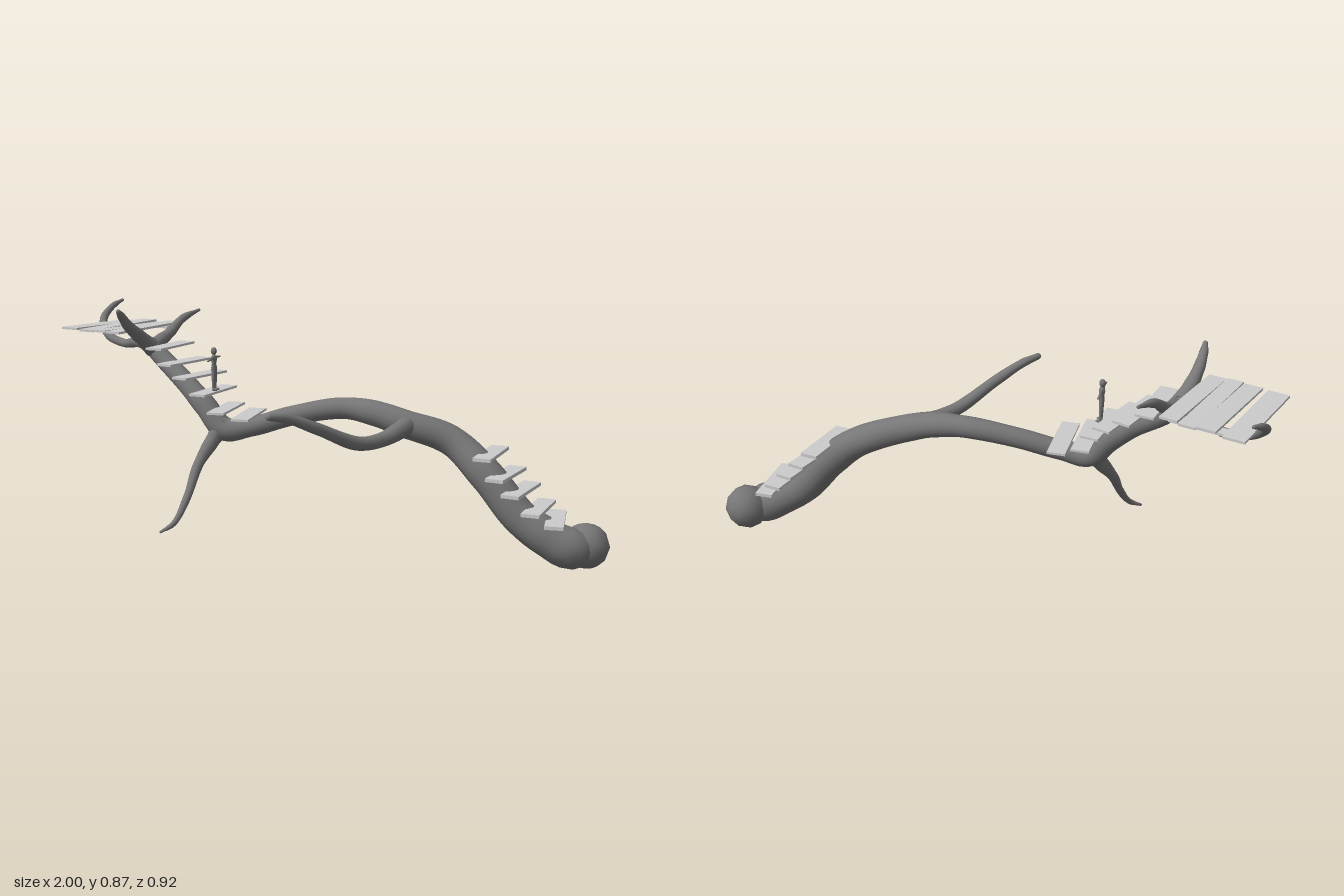
import * as THREE from 'three';

const boardMat = new THREE.MeshStandardMaterial({ color: 0xcccccc });
const darkMat = new THREE.MeshStandardMaterial({ color: 0x777777 });

function add(parent, name, geometry, mat = darkMat) {
  const mesh = new THREE.Mesh(geometry, mat);
  mesh.name = name;
  parent.add(mesh);
  return mesh;
}

// Tapered limb along a smooth path; each point is [x, y, z, radius]
function limbGeometry(points, steps, sides) {
  const curve = new THREE.CatmullRomCurve3(points.map(p => new THREE.Vector3(p[0], p[1], p[2])));
  const frames = curve.computeFrenetFrames(steps, false);
  const pos = [], index = [];
  const v = new THREE.Vector3();
  const rings = [];
  for (let i = 0; i <= steps; i++) {
    // use curve parameter so radii line up with their points
    const t = curve.getUtoTmapping(i / steps);
    const f = t * (points.length - 1);
    const k = Math.min(Math.floor(f), points.length - 2);
    const s = THREE.MathUtils.smoothstep(f - k, 0, 1);
    rings.push({ c: curve.getPoint(t), r: THREE.MathUtils.lerp(points[k][3], points[k + 1][3], s), i });
  }
  // rounded tip
  const last = rings[steps];
  for (const a of [0.5, 1, 1.4]) {
    rings.push({
      c: last.c.clone().addScaledVector(frames.tangents[steps], last.r * Math.sin(a)),
      r: last.r * Math.cos(a), i: steps,
    });
  }
  for (const { c, r, i } of rings) {
    for (let j = 0; j < sides; j++) {
      const a = j / sides * Math.PI * 2;
      v.copy(c).addScaledVector(frames.normals[i], Math.cos(a) * r)
        .addScaledVector(frames.binormals[i], Math.sin(a) * r);
      pos.push(v.x, v.y, v.z);
    }
  }
  for (let i = 0; i < rings.length - 1; i++) {
    for (let j = 0; j < sides; j++) {
      const a = i * sides + j, b = i * sides + (j + 1) % sides;
      index.push(a, b, a + sides, b, b + sides, a + sides);
    }
  }
  // close both ends with fans
  const end = (rings.length - 1) * sides;
  for (let j = 1; j < sides - 1; j++) {
    index.push(0, j + 1, j, end, end + j, end + j + 1);
  }
  const g = new THREE.BufferGeometry();
  g.setAttribute('position', new THREE.Float32BufferAttribute(pos, 3));
  g.setIndex(index);
  g.computeVertexNormals();
  return g;
}

// Flat board lying along z, turned about y
function plank(parent, name, [x, y, z, yaw], width, length, thick) {
  const m = add(parent, name, new THREE.BoxGeometry(width, thick, length), boardMat);
  m.position.set(x, y, z);
  m.rotation.y = yaw;
  return m;
}

// Straight tapered body part between two points
function bone(parent, name, a, b, ra, rb) {
  const A = new THREE.Vector3(...a), B = new THREE.Vector3(...b);
  const d = B.clone().sub(A);
  const m = add(parent, name, new THREE.CylinderGeometry(rb, ra, d.length(), 10));
  m.position.copy(A).add(B).multiplyScalar(0.5);
  m.quaternion.setFromUnitVectors(new THREE.Vector3(0, 1, 0), d.normalize());
}

function createFigure() {
  const g = new THREE.Group();
  g.name = 'figure';
  const torso = [[0.001, 0.07], [0.012, 0.074], [0.013, 0.084], [0.01, 0.096], [0.014, 0.112],
    [0.013, 0.122], [0.005, 0.128], [0.004, 0.136]].map(p => new THREE.Vector2(...p));
  add(g, 'torso', new THREE.LatheGeometry(torso, 12)).scale.x = 0.75;
  const head = add(g, 'head', new THREE.SphereGeometry(0.011, 12, 8));
  head.position.y = 0.141;
  head.scale.y = 1.25;
  for (const s of [-1, 1]) {
    bone(g, 'thigh', [0, 0.08, s * 0.006], [0, 0.042, s * 0.009], 0.0085, 0.006);
    bone(g, 'shin', [0, 0.043, s * 0.009], [0, 0.006, s * 0.011], 0.0065, 0.004);
    const foot = add(g, 'foot', new THREE.SphereGeometry(0.006, 8, 6));
    foot.position.set(0.005, 0.005, s * 0.011);
    foot.scale.set(1.9, 0.8, 1);
    bone(g, 'upperArm', [0, 0.119, s * 0.01], [0, 0.116, s * 0.036], 0.0055, 0.004);
    bone(g, 'forearm', [0, 0.116, s * 0.035], [0, 0.114, s * 0.058], 0.004, 0.003);
    const hand = add(g, 'hand', new THREE.SphereGeometry(0.005, 8, 6));
    hand.position.set(0, 0.114, s * 0.063);
    hand.scale.set(1, 0.6, 1.5);
  }
  return g;
}

export function createModel() {
  const model = new THREE.Group();
  model.name = 'treeWalkway';

  // Fallen trunk with a blunt, coarse butt
  const tree = new THREE.Group();
  tree.name = 'tree';
  model.add(tree);
  add(tree, 'trunk', limbGeometry([
    [0.92, 0.083, -0.075, 0.055], [0.86, 0.083, -0.033, 0.074], [0.78, 0.122, -0.022, 0.067],
    [0.69, 0.184, -0.025, 0.062], [0.57, 0.32, -0.045, 0.06], [0.44, 0.43, -0.08, 0.053],
    [0.28, 0.487, -0.055, 0.049], [0.18, 0.517, -0.06, 0.045], [0.06, 0.53, -0.07, 0.038],
    [-0.12, 0.5, -0.045, 0.035], [-0.26, 0.46, -0.015, 0.035], [-0.36, 0.45, -0.005, 0.043],
    [-0.43, 0.525, -0.018, 0.041], [-0.52, 0.607, -0.052, 0.036], [-0.605, 0.672, -0.092, 0.034],
    [-0.67, 0.727, -0.11, 0.03],
  ], 90, 16));
  const butt = add(tree, 'trunkEnd', new THREE.IcosahedronGeometry(0.082, 1));
  butt.position.set(0.914, 0.082, -0.078);

  const branches = {
    frontBranch: [[0.3, 0.49, -0.06, 0.036], [0.27, 0.474, 0.03, 0.03], [0.225, 0.458, 0.11, 0.025],
      [0.165, 0.463, 0.2, 0.024], [0.06, 0.53, 0.32, 0.02], [-0.02, 0.575, 0.4, 0.016], [-0.066, 0.587, 0.45, 0.012]],
    lowerBranch: [[-0.36, 0.47, -0.01, 0.038], [-0.398, 0.405, 0.025, 0.026], [-0.432, 0.33, 0.08, 0.018],
      [-0.447, 0.235, 0.155, 0.014], [-0.475, 0.155, 0.22, 0.01], [-0.512, 0.13, 0.25, 0.005]],
    frontFork: [[-0.655, 0.715, -0.1, 0.032], [-0.685, 0.765, -0.045, 0.025], [-0.702, 0.805, 0.01, 0.02],
      [-0.71, 0.845, 0.055, 0.015], [-0.71, 0.866, 0.085, 0.009]],
    backFork: [[-0.655, 0.715, -0.09, 0.032], [-0.65, 0.735, -0.15, 0.026], [-0.632, 0.76, -0.21, 0.02],
      [-0.605, 0.807, -0.28, 0.015], [-0.57, 0.832, -0.37, 0.006]],
    hookedFork: [[-0.655, 0.725, -0.1, 0.03], [-0.74, 0.73, -0.17, 0.021], [-0.82, 0.714, -0.237, 0.016],
      [-0.9, 0.737, -0.275, 0.016], [-0.945, 0.79, -0.335, 0.015], [-0.937, 0.835, -0.41, 0.012],
      [-0.915, 0.855, -0.457, 0.006]],
  };
  for (const [name, pts] of Object.entries(branches)) add(tree, name, limbGeometry(pts, 36, 12));

  // Steps climbing the trunk: [x, y, z, yaw]
  const lowerSteps = [[0.582, 0.393, -0.065, -0.18], [0.637, 0.328, -0.043, -0.27],
    [0.69, 0.276, -0.04, -0.26], [0.752, 0.219, -0.028, -0.19], [0.81, 0.182, -0.028, 0]];
  const upperSteps = [[-0.27, 0.503, -0.012, 0], [-0.353, 0.523, -0.01, -0.03], [-0.404, 0.582, -0.025, -0.2],
    [-0.465, 0.632, -0.06, -0.36], [-0.53, 0.675, -0.08, -0.34], [-0.592, 0.727, -0.11, -0.2]];
  for (const s of lowerSteps) plank(model, 'lowerStep', s, 0.064, 0.235, 0.012);
  for (const s of upperSteps) plank(model, 'upperStep', s, 0.063, 0.235, 0.008);

  // Platform resting on the forked branches: [x, width, z, length]
  const platform = new THREE.Group();
  platform.name = 'platform';
  platform.rotation.y = -0.3;
  model.add(platform);
  [[-0.941, 0.072, 0.044, 0.36], [-0.852, 0.064, 0.05, 0.37], [-0.789, 0.056, 0.054, 0.37], [-0.729, 0.06, 0.052, 0.37]]
    .forEach(([x, w, z, len], i) => {
      const p = plank(platform, 'platformBoard', [x, 0.782 + (i % 2) * 0.003, z, 0], w, len, 0.008);
      p.rotation.x = i % 2 ? 0.012 : -0.015;
    });
  plank(platform, 'platformCrossbar', [-0.84, 0.772, -0.09, 0], 0.24, 0.04, 0.008);

  // Person standing on a step
  const figure = createFigure();
  figure.position.set(-0.395, 0.585, -0.01);
  model.add(figure);
  return model;
}
